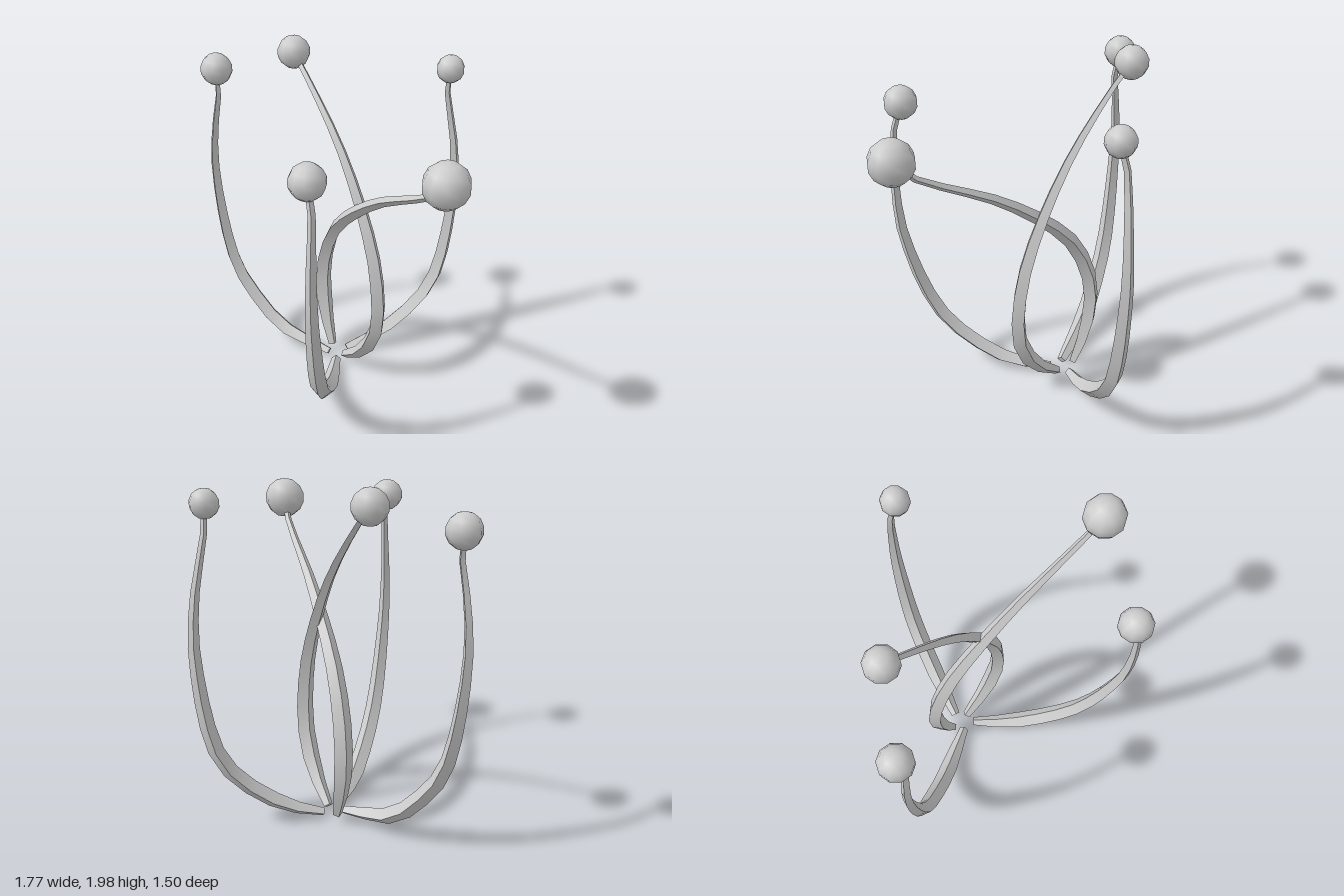
import * as THREE from 'three';
import { toCreasedNormals } from 'three/addons/utils/BufferGeometryUtils.js';

const material = new THREE.MeshStandardMaterial({ color: 0xcccccc });

// Half thickness along a stalk: slim root, quick swell, then a long taper (t from base to tip)
function halfWidth(t) {
  const { smoothstep, lerp } = THREE.MathUtils;
  return lerp(0.025, 0.048, smoothstep(t, 0, 0.13)) - 0.034 * smoothstep(t, 0.2, 1.1);
}

// Tapered, four-sided stalk with diamond rings set in the plane of its arc
function stalkGeometry(curve, side) {
  const rings = 14;
  const positions = [], index = [];
  for (let i = 0; i <= rings; i++) {
    const t = i / rings;
    const p = curve.getPointAt(t);
    const normal = curve.getTangentAt(t).cross(side).normalize();
    for (let k = 0; k < 4; k++) {
      const a = k * Math.PI / 2;
      const v = p.clone()
        .addScaledVector(side, halfWidth(t) * 1.1 * Math.cos(a))
        .addScaledVector(normal, halfWidth(t) * Math.sin(a));
      positions.push(v.x, v.y, v.z);
      if (i < rings) {
        const c = i * 4 + k, d = i * 4 + (k + 1) % 4;
        index.push(c, d, d + 4, c, d + 4, c + 4);
      }
    }
  }
  // End caps
  const e = rings * 4;
  index.push(0, 2, 1, 0, 3, 2, e, e + 1, e + 2, e, e + 2, e + 3);
  const geometry = new THREE.BufferGeometry();
  geometry.setAttribute('position', new THREE.Float32BufferAttribute(positions, 3));
  geometry.setIndex(index);
  return toCreasedNormals(geometry, 0.7);
}

// One stamen: its arc lies in an upright plane through the root along (dx, dz);
// the profile lists [distance along that heading, height]
function stamen(name, [x, z], [dx, dz], profile, bulbCentre, bulbRadius) {
  const group = new THREE.Group();
  group.name = name;

  const points = profile.map(([s, y]) => new THREE.Vector3(x + s * dx, y, z + s * dz));
  points.push(new THREE.Vector3(...bulbCentre));
  const side = new THREE.Vector3(-dz, 0, dx).normalize();
  const stalk = new THREE.Mesh(stalkGeometry(new THREE.CatmullRomCurve3(points), side), material);
  stalk.name = 'stalk';

  const bulb = new THREE.Mesh(new THREE.SphereGeometry(bulbRadius, 10, 7), material);
  bulb.name = 'bulb';
  bulb.position.set(...bulbCentre);

  group.add(stalk, bulb);
  return group;
}

export function createModel() {
  const model = new THREE.Group();
  model.name = 'stamens';
  model.add(
    stamen('rightStamen', [-0.08, -0.165], [-1, -0.01],
      [[0, 0.05], [0.33, 0.135], [0.5, 0.29], [0.66, 0.53], [0.76, 1.09], [0.755, 1.39], [0.7, 1.72]],
      [-0.80, 1.81, -0.19], 0.091),
    stamen('frontStamen', [-0.01, -0.12], [0.31, 1],
      [[0, 0.05], [0.12, 0.05], [0.3, 0.1], [0.62, 0.37], [0.81, 0.88], [0.84, 1.2], [0.81, 1.63]],
      [0.21, 1.73, 0.665], 0.092),
    stamen('backLeftStamen', [0, -0.25], [1, -1],
      [[0, 0.05], [0.14, 0.11], [0.3, 0.26], [0.41, 0.46], [0.475, 1.02], [0.465, 1.35], [0.41, 1.76]],
      [0.43, 1.86, -0.635], 0.078),
    stamen('backRightStamen', [0.02, -0.18], [1, 0.48],
      [[0, 0.05], [0.16, 0.2], [0.26, 0.42], [0.265, 0.65], [0.2, 0.96], [-0.04, 1.45], [-0.37, 1.85]],
      [-0.41, 1.907, -0.39], 0.093),
    stamen('frontLeftStamen', [-0.09, -0.235], [1, 0.69],
      [[0, 0.06], [-0.07, 0.28], [-0.095, 0.54], [-0.055, 0.75], [0.045, 0.97], [0.36, 1.3], [0.79, 1.6]],
      [0.765, 1.695, 0.365], 0.118),
  );
  return model;
}
